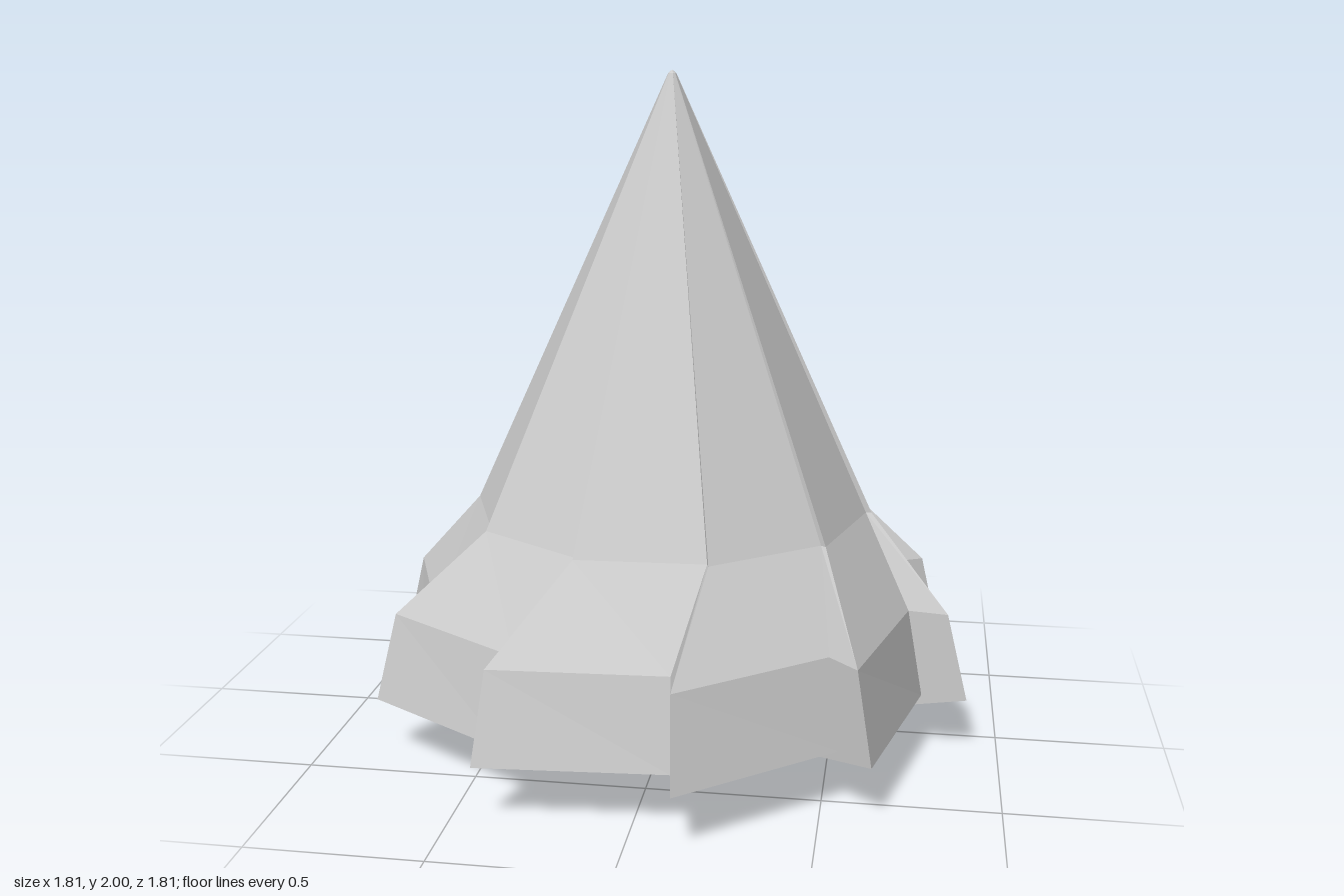
import * as THREE from 'three';

const BLADES = 10;

// Levels from bottom to top: height, tip radius, notch radius, twist in degrees
const LEVELS = [
  [0.0, 0, 0, 9.6],
  [0.0, 0.075, 0.062, 9.6],
  [0.18, 0.916, 0.782, 9.6],
  [0.44, 0.852, 0.735, 9.6],
  [0.7, 0.605, 0.588, 0],
  [1.99, 0.012, 0.0115, 0],
  [2.0, 0, 0, 0],
];

// Saw-toothed ring: at every step the tip drops radially to the notch
function sawRing([y, tip, notch, twist]) {
  const points = [];
  for (let k = 0; k < BLADES; k++) {
    const a = THREE.MathUtils.degToRad(twist + (k * 360) / BLADES);
    for (const r of [tip, notch]) {
      points.push(new THREE.Vector3(r * Math.cos(a), y, r * Math.sin(a)));
    }
  }
  return points;
}

// Join neighbouring rings, leaving out triangles that collapse at the poles
function loft(rings) {
  const positions = [];
  const addTriangle = (a, b, c) => {
    if (a.equals(b) || b.equals(c) || c.equals(a)) return;
    for (const p of [a, b, c]) positions.push(p.x, p.y, p.z);
  };
  for (let i = 0; i < rings.length - 1; i++) {
    const low = rings[i], high = rings[i + 1], n = low.length;
    for (let j = 0; j < n; j++) {
      const k = (j + 1) % n;
      addTriangle(low[j], high[j], high[k]);
      addTriangle(low[j], high[k], low[k]);
    }
  }
  const geometry = new THREE.BufferGeometry();
  geometry.setAttribute('position', new THREE.Float32BufferAttribute(positions, 3));
  geometry.computeVertexNormals();
  return geometry;
}

export function createModel() {
  const model = new THREE.Group();
  model.name = 'pinwheelSpire';
  const material = new THREE.MeshStandardMaterial({ color: 0xcccccc, flatShading: true });

  // Overlapping panels flaring from a pointed top into a stepped skirt and shallow underside
  const spire = new THREE.Mesh(loft(LEVELS.map(sawRing)), material);
  spire.name = 'steppedSpire';
  model.add(spire);
  return model;
}
